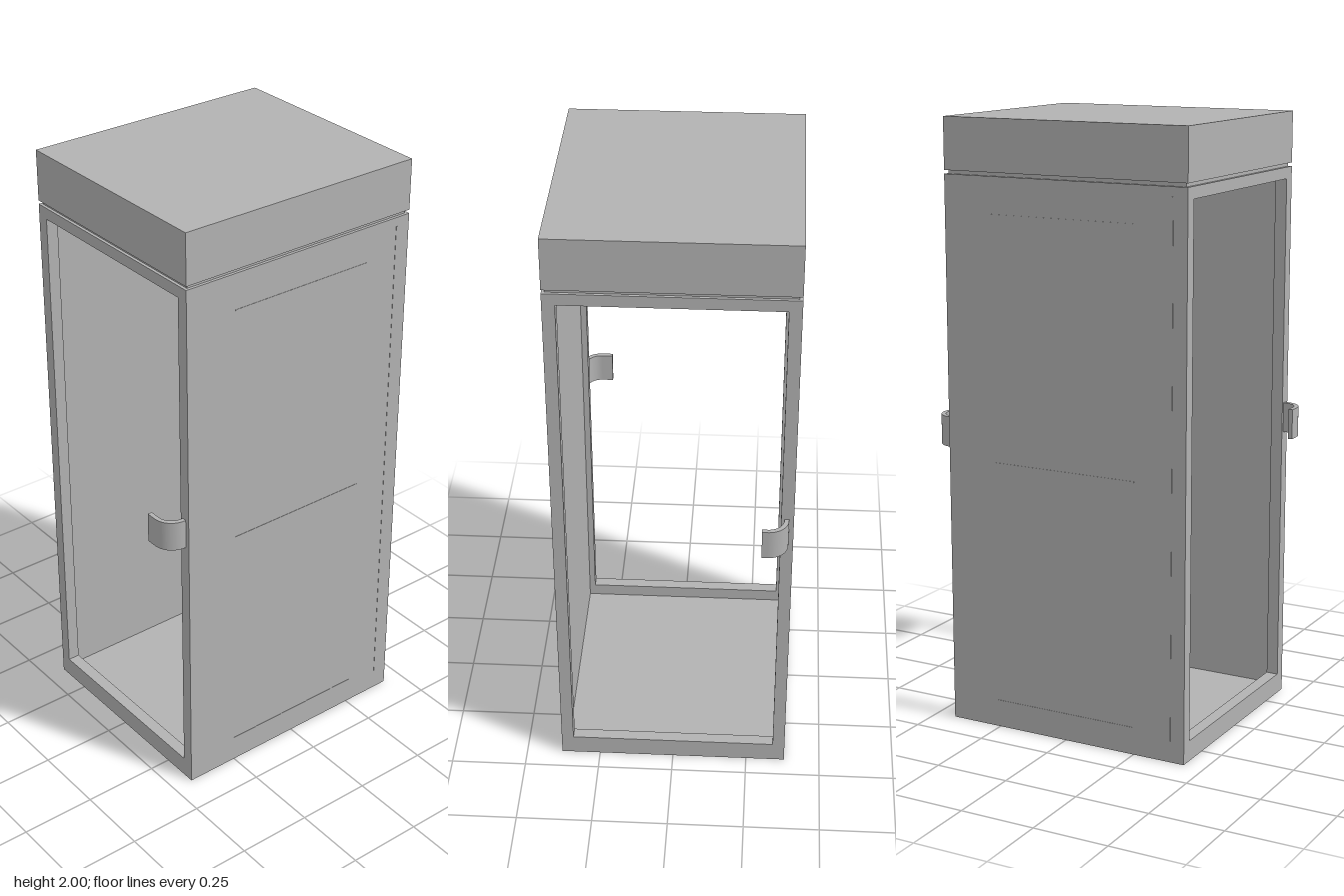
import * as THREE from 'three';

export function createModel() {
  const grey = new THREE.MeshStandardMaterial({ color: 0xb2b2b2 });
  grey.name = 'grey metal';
  const model = new THREE.Group();
  model.name = 'cabinet';

  const W = 0.38, D = 0.43, WALL = 0.02, FRAME = 0.04;
  const BODY_TOP = 1.82, CAP_BOTTOM = 1.832, TOP = 2;

  const add = (name, geometry, parent = model) => {
    const mesh = new THREE.Mesh(geometry, grey);
    mesh.name = name;
    parent.add(mesh);
    return mesh;
  };
  // Box given by its low and high corners
  const box = (name, x0, x1, y0, y1, z0, z1) =>
    add(name, new THREE.BoxGeometry(x1 - x0, y1 - y0, z1 - z0)
      .translate((x0 + x1) / 2, (y0 + y1) / 2, (z0 + z1) / 2));
  // Hollow rectangular band seen from above
  const band = (name, w, d, tx, tz, y0, y1) => {
    const shape = rect(-w, -d, w, d);
    shape.holes.push(rect(-w + tx, -d + tz, w - tx, d - tz));
    add(name, new THREE.ExtrudeGeometry(shape, { depth: y1 - y0, bevelEnabled: false })
      .rotateX(-Math.PI / 2).translate(0, y0, 0));
  };
  const rect = (x0, y0, x1, y1) => new THREE.Shape([
    new THREE.Vector2(x0, y0), new THREE.Vector2(x1, y0),
    new THREE.Vector2(x1, y1), new THREE.Vector2(x0, y1),
  ]);

  // Open door frames, front and back
  for (const [name, z] of [['frontFrame', D - FRAME], ['backFrame', -D]]) {
    const shape = rect(-W, 0, W, BODY_TOP);
    shape.holes.push(rect(-0.34, 0.068, 0.34, 1.782));
    add(name, new THREE.ExtrudeGeometry(shape, { depth: FRAME, bevelEnabled: false })
      .translate(0, 0, z));
  }

  // Side walls and floor between the frames
  const zIn = D - FRAME;
  box('leftWall', W - WALL, W, 0, BODY_TOP, -zIn, zIn);
  box('rightWall', -W, -W + WALL, 0, BODY_TOP, -zIn, zIn);
  box('floor', -W + WALL, W - WALL, 0, 0.025, -zIn, zIn);

  // Recessed joint and hollow cap
  band('capJoint', W - 0.01, D - 0.01, WALL - 0.01, 0.02, BODY_TOP, CAP_BOTTOM);
  band('capWalls', W, D, WALL, 0.03, CAP_BOTTOM, TOP - 0.03);
  box('capTop', -W, W, TOP - 0.03, TOP, -D, D);

  // Hairline panel seams on each side wall
  for (const s of [-1, 1]) {
    for (const y of [0.09, 0.9, 1.7]) {
      const seam = box('panelSeam', -0.001, 0.001, y - 0.002, y + 0.002, -0.26, 0.25);
      seam.position.x = s * W;
    }
    const edge = box('panelEdgeSeam', -0.001, 0.001, 0.05, 1.79, -0.002, 0.002);
    edge.position.set(s * W, 0, -s * 0.38);
  }

  // Curved strip handles, the back one turned half a circle
  const handle = (name, tip, turn) => {
    const s = new THREE.Shape();
    s.moveTo(0.365, -0.43);
    s.lineTo(0.365, -0.435);
    s.absarc(0.3, -0.435, 0.065, 0, -Math.PI / 2, true);
    s.lineTo(tip, -0.5);
    s.lineTo(tip, -0.485);
    s.lineTo(0.3, -0.485);
    s.absarc(0.3, -0.435, 0.05, -Math.PI / 2, 0, false);
    s.lineTo(0.35, -0.43);
    const g = new THREE.ExtrudeGeometry(s, { depth: 0.1, bevelEnabled: false, curveSegments: 12 });
    add(name, g.rotateX(-Math.PI / 2).translate(0, 0.93, 0)).rotation.y = turn;
  };
  handle('frontHandle', 0.264, 0);
  handle('backHandle', 0.282, Math.PI);

  return model;
}
